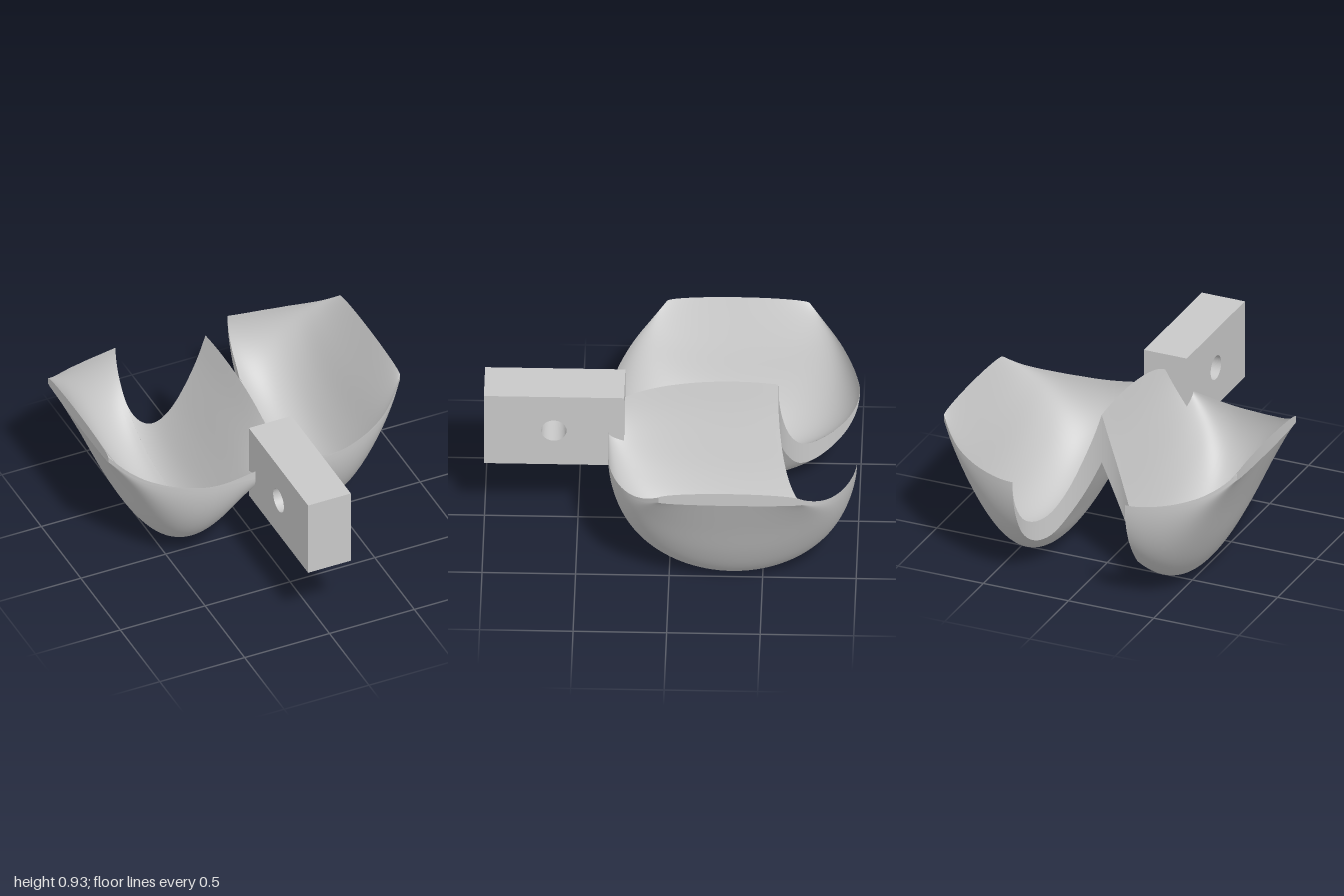
import * as THREE from 'three';

const ZC = -0.335;       // mid-line of the cups
const NOTCH = 0.33;      // half width and radius of the rear notch
const NOTCH_Z = -0.9;    // centre of the notch arc
const EDGE = 0.86;       // outer side edge

// Smooth function of x through a few points
function curve(xs, ys) {
  const c = new THREE.CubicInterpolant(new Float32Array(xs), new Float32Array(ys), 1, new Float32Array(1));
  return x => c.evaluate(x)[0];
}

// Half length of the shell along z
const halfLength = curve([0, 0.13, 0.35, 0.46, 0.56, 0.65, 0.72, 0.79, 0.86],
  [0.67, 0.67, 0.662, 0.638, 0.603, 0.56, 0.515, 0.455, 0.382]);

// Each skin: height at mid-length and at the front/back rim
const outer = {
  mid: curve([0, 0.08, 0.17, 0.25, 0.33, 0.41, 0.49, 0.57, 0.65, 0.75, 0.86],
    [0.63, 0.45, 0.27, 0.12, 0.03, 0, 0.03, 0.12, 0.265, 0.5, 0.755]),
  rim: curve([0, 0.13, 0.37, 0.56, 0.64, 0.72, 0.79, 0.86],
    [0.62, 0.62, 0.635, 0.65, 0.66, 0.68, 0.716, 0.77]),
};
const inner = {
  mid: curve([0, 0.04, 0.1, 0.18, 0.26, 0.34, 0.42, 0.5, 0.58, 0.66, 0.75, 0.86],
    [0.93, 0.8, 0.63, 0.42, 0.255, 0.165, 0.14, 0.165, 0.24, 0.375, 0.585, 0.835]),
  rim: curve([0, 0.13, 0.37, 0.56, 0.64, 0.72, 0.79, 0.86],
    [0.7, 0.67, 0.638, 0.657, 0.676, 0.703, 0.742, 0.802]),
};

// Grid surface from a rule f(u, v) -> [x, y, z]
function grid(f, nu, nv, flip) {
  const pos = [], idx = [];
  for (let i = 0; i <= nu; i++)
    for (let j = 0; j <= nv; j++) pos.push(...f(i / nu, j / nv));
  for (let i = 0; i < nu; i++)
    for (let j = 0; j < nv; j++) {
      const a = i * (nv + 1) + j, b = a + nv + 1;
      if (flip) idx.push(a, a + 1, b, b, a + 1, b + 1);
      else idx.push(a, b, a + 1, b, b + 1, a + 1);
    }
  const g = new THREE.BufferGeometry();
  g.setAttribute('position', new THREE.Float32BufferAttribute(pos, 3));
  g.setIndex(idx);
  g.computeVertexNormals();
  return g;
}

// Section angle from back to front; the rows of both panels meet beside the notch
function sectionAngle(x, v, notched) {
  const nx = Math.min(x, NOTCH);
  const back = NOTCH_Z + Math.sqrt(NOTCH * NOTCH - nx * nx);
  const start = Math.asin((back - ZC) / halfLength(nx));
  const w = notched ? v : v * 1.25 - 0.25;
  return start + w * (w < 0 ? (start + Math.PI / 2) * 4 : Math.PI / 2 - start);
}

// Elliptical section along z at column x
function skinPoint(skin, x, v, notched, s) {
  const phi = sectionAngle(x, v, notched);
  const r = skin.rim(x), m = skin.mid(x);
  return [s * x, r - (r - m) * Math.cos(phi), ZC + halfLength(x) * Math.sin(phi)];
}

function mixPoint(x, v, t, notched, s) {
  const a = skinPoint(outer, x, v, notched, s), b = skinPoint(inner, x, v, notched, s);
  return a.map((n, k) => n + (b[k] - n) * t);
}

// One panel of the shell: both skins and the cut edges between them
function panel(name, xAt, notched, s, material) {
  const g = new THREE.Group();
  g.name = name;
  const mirrored = s < 0, NX = 32, NZ = notched ? 48 : 60;
  const add = (part, geo) => {
    const m = new THREE.Mesh(geo, material);
    m.name = part;
    g.add(m);
  };
  add('innerSkin', grid((u, v) => skinPoint(inner, xAt(u), v, notched, s), NX, NZ, !mirrored));
  add('outerSkin', grid((u, v) => skinPoint(outer, xAt(u), v, notched, s), NX, NZ, mirrored));
  add('frontRim', grid((u, t) => mixPoint(xAt(u), 1, t, notched, s), NX, 1, mirrored));
  add('backRim', grid((u, t) => mixPoint(xAt(u), 0, t, notched, s), NX, 1, !mirrored));
  if (!notched) {
    add('notchSide', grid((v, t) => mixPoint(NOTCH, v, t, false, s), NZ, 1, mirrored));
    add('sideEdge', grid((v, t) => mixPoint(EDGE, v, t, false, s), NZ, 1, !mirrored));
  }
  return g;
}

export function createModel() {
  const model = new THREE.Group();
  model.name = 'twinCupHolder';
  const grey = new THREE.MeshStandardMaterial({ color: 0xc8c8c8, side: THREE.DoubleSide });
  grey.name = 'plain grey';

  // Twin cups, mirrored about the centre ridge
  for (const s of [1, -1]) {
    const cup = new THREE.Group();
    cup.name = s > 0 ? 'leftCup' : 'rightCup';
    cup.add(panel('ridgePanel', u => NOTCH * Math.sin(u * Math.PI / 2), true, s, grey));
    cup.add(panel('cupPanel', u => NOTCH + (EDGE - NOTCH) * u, false, s, grey));
    model.add(cup);
  }

  // Mounting block with a cross hole, extruded along x
  const side = new THREE.Shape([[-1, 0.45], [-0.25, 0.45], [-0.25, 0.903], [-1, 0.903]]
    .map(p => new THREE.Vector2(...p)));
  side.holes.push(new THREE.Path().absarc(-0.626, 0.677, 0.068, 0, Math.PI * 2, true));
  const geo = new THREE.ExtrudeGeometry(side, { depth: 0.252, bevelEnabled: false, curveSegments: 32 });
  geo.translate(0, 0, -0.126).rotateY(Math.PI / 2);
  const block = new THREE.Mesh(geo, grey);
  block.name = 'mountingBlock';
  model.add(block);
  return model;
}
